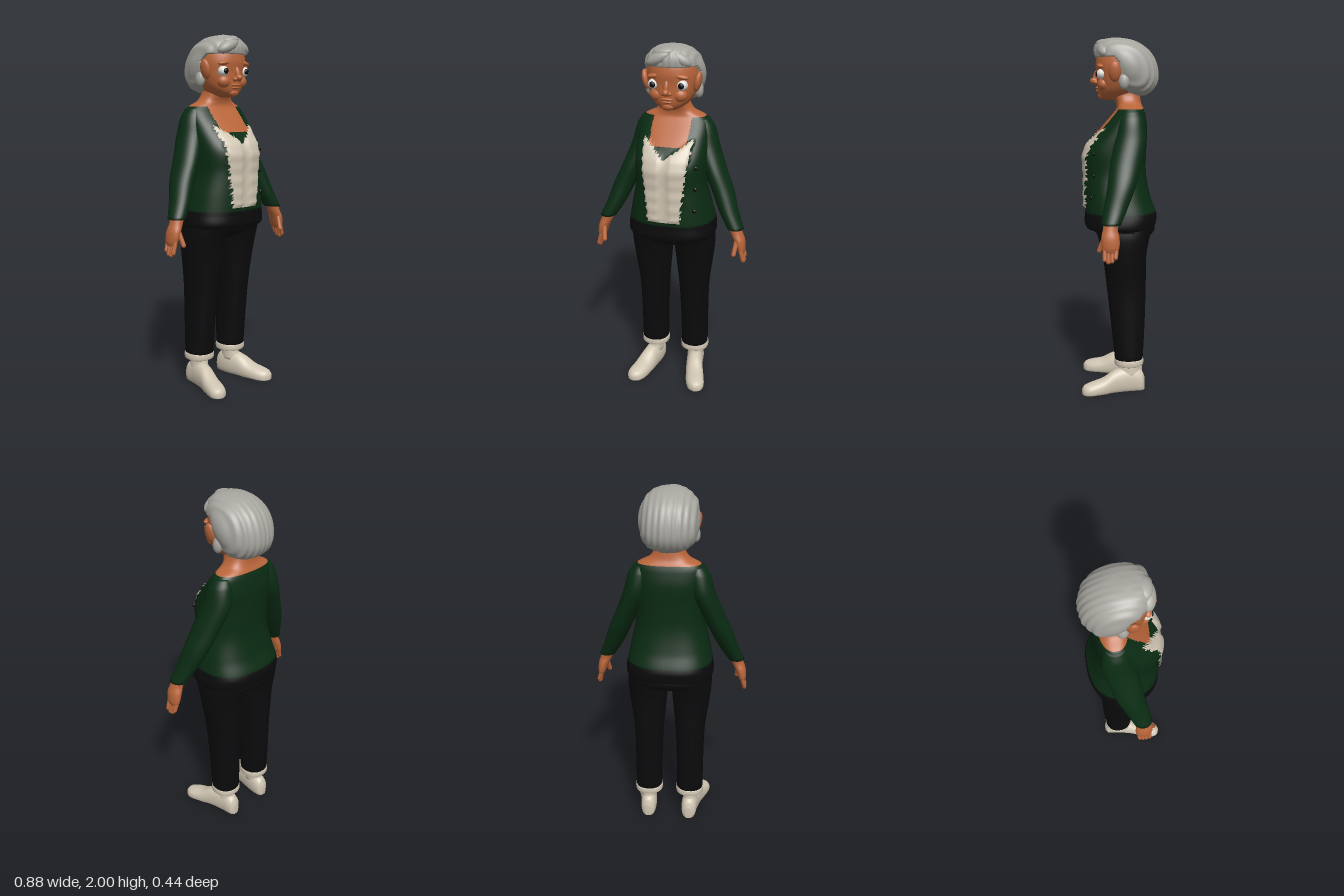
import * as THREE from 'three';

const mat = (name, color, side = THREE.FrontSide) => {
  const m = new THREE.MeshStandardMaterial({ color, side });
  m.name = name;
  return m;
};
const skin = mat('skin', 0xb8653a);
const hairGrey = mat('hair grey', 0xa5a49d);
const green = mat('cardigan green', 0x0a2b13);
const black = mat('trouser black', 0x0b0b0d);
const cream = mat('cream', 0xd0c5b2);
const eyeWhite = mat('eye white', 0xe0ded8);

// Smooth skin over horizontal cross-sections [y, centreX, halfWidth, backZ, frontZ], lowest first
function loft(keys, { segs = 32, steps = 6, n = 2, side = 1, deform } = {}) {
  const rows = [], pos = [], idx = [];
  const slope = (i, k) => {
    const a = keys[Math.max(i - 1, 0)], b = keys[Math.min(i + 1, keys.length - 1)];
    return (b[k] - a[k]) / (b[0] - a[0]);
  };
  for (let i = 0; i < keys.length - 1; i++) {
    const h = keys[i + 1][0] - keys[i][0];
    for (let s = i ? 1 : 0; s <= steps; s++) {
      const t = s / steps, t2 = t * t, t3 = t2 * t;
      rows.push(keys[i].map((v, k) => (2 * t3 - 3 * t2 + 1) * v + (t3 - 2 * t2 + t) * h * slope(i, k)
        + (3 * t2 - 2 * t3) * keys[i + 1][k] + (t3 - t2) * h * slope(i + 1, k)));
    }
  }
  const p = new THREE.Vector3();
  const add = (x, y, z) => {
    p.set(x, y, z);
    if (deform) deform(p);
    pos.push(p.x, p.y, p.z);
  };
  const pow = v => Math.sign(v) * Math.abs(v) ** (2 / n);
  for (const [y, cx, rx, zb, zf] of rows)
    for (let i = 0; i < segs; i++) {
      const a = i / segs * Math.PI * 2;
      add(cx * side + rx * pow(Math.cos(a)), y, (zb + zf) / 2 + (zf - zb) / 2 * pow(Math.sin(a)));
    }
  const last = rows.length - 1, low = rows.length * segs;
  for (const r of [rows[0], rows[last]]) add(r[1] * side, r[0], (r[3] + r[4]) / 2);
  for (let i = 0; i < segs; i++) {
    const k = (i + 1) % segs;
    for (let j = 0; j < last; j++) {
      const a = j * segs + i, b = j * segs + k;
      idx.push(a, a + segs, b, b, a + segs, b + segs);
    }
    idx.push(low, i, k, low + 1, last * segs + k, last * segs + i);
  }
  const g = new THREE.BufferGeometry();
  g.setAttribute('position', new THREE.Float32BufferAttribute(pos, 3));
  g.setIndex(idx);
  g.computeVertexNormals();
  return g;
}

// Sort the triangles into material groups by the rule(x, y, z) of their centre
function paint(g, count, rule) {
  const buckets = Array.from({ length: count }, () => []);
  const P = g.attributes.position, ix = g.index.array;
  for (let i = 0; i < ix.length; i += 3) {
    const t = [ix[i], ix[i + 1], ix[i + 2]];
    const mid = f => t.reduce((s, v) => s + P[f](v), 0) / 3;
    buckets[rule(mid('getX'), mid('getY'), mid('getZ'))].push(...t);
  }
  g.setIndex(buckets.flat());
  let start = 0;
  buckets.forEach((b, m) => { g.addGroup(start, b.length, m); start += b.length; });
  return g;
}

export function createModel() {
  const model = new THREE.Group();
  model.name = 'olderWoman';
  const add = (name, geo, material) => {
    const m = new THREE.Mesh(geo, material);
    m.name = name;
    model.add(m);
    return m;
  };
  const ball = (name, material, [x, y, z], [a, b, c], rz = 0, rx = 0) => {
    const m = add(name, new THREE.SphereGeometry(1, 24, 16), material);
    m.position.set(x, y, z);
    m.scale.set(a, b, c);
    m.rotation.set(rx, 0, rz);
  };
  const rod = (name, material, from, to, r) => {
    const a = new THREE.Vector3(...from), d = new THREE.Vector3(...to).sub(a);
    const m = add(name, new THREE.CapsuleGeometry(r, d.length(), 6, 12), material);
    m.position.copy(a).addScaledVector(d, 0.5);
    m.quaternion.setFromUnitVectors(new THREE.Vector3(0, 1, 0), d.normalize());
  };

  // Torso: cardigan, lace blouse front, square neckline and dark hem
  const inLace = (x, y, z) => z > 0.04 && y > 1.06 && y < 1.41 + Math.abs(x) * 0.75
    && Math.abs(x) < 0.09 + (y - 1.06) * 0.11 + 0.004 * Math.sin(y * 140);
  const torso = loft([
    [0.945, 0, 0.24, -0.195, 0.19], [0.965, 0, 0.25, -0.205, 0.2], [1.02, 0, 0.245, -0.21, 0.2],
    [1.12, 0, 0.225, -0.175, 0.2], [1.25, 0, 0.198, -0.15, 0.2], [1.38, 0, 0.2, -0.15, 0.197],
    [1.5, 0, 0.2, -0.155, 0.11], [1.575, 0, 0.192, -0.145, 0.045], [1.61, 0, 0.17, -0.135, 0.02],
    [1.64, 0, 0.11, -0.122, 0.02], [1.68, 0, 0.083, -0.115, 0.035], [1.73, 0, 0.08, -0.11, 0.04],
  ], {
    segs: 120, steps: 8, n: 2.45,
    deform: p => {
      if (inLace(p.x, p.y, p.z)) p.z += Math.abs(p.x) < 0.025 ? 0.002 : 0.011 + 0.002 * Math.sin(p.y * 90);
    },
  });
  add('torso', paint(torso, 4, (x, y, z) => {
    if (y < 1.04) return 1;
    if (inLace(x, y, z)) return 2;
    if (y > 1.61 || (z > -0.05 && y > 1.475 && Math.abs(x) < 0.107)) return 3;
    return 0;
  }), [green, black, cream, skin]);
  for (const [y, z] of [[1.37, 0.145], [1.25, 0.146], [1.13, 0.161]])
    ball('cardiganButton', black, [0.165, y, z], [0.012, 0.012, 0.008]);

  // Trousers seat
  add('trouserSeat', loft([
    [0.865, 0, 0.1, -0.1, 0.05], [0.89, 0, 0.2, -0.16, 0.11], [0.93, 0, 0.237, -0.2, 0.155], [0.99, 0, 0.236, -0.195, 0.17],
  ], { n: 2.3 }), black);

  for (const side of [1, -1]) {
    const S = (x, y, z) => [x * side, y, z];

    // Leg, turned-up cuff, ankle and shoe
    add('trouserLeg', loft([
      [0.18, 0.125, 0.079, -0.13, 0.03], [0.4, 0.124, 0.08, -0.14, 0.053], [0.6, 0.122, 0.087, -0.145, 0.075],
      [0.8, 0.125, 0.109, -0.148, 0.1], [0.9, 0.125, 0.117, -0.165, 0.125], [0.97, 0.122, 0.113, -0.18, 0.15],
    ], { n: 2.2, side }), black);
    add('trouserCuff', loft([
      [0.152, 0.125, 0.072, -0.122, 0.022], [0.158, 0.125, 0.082, -0.133, 0.032],
      [0.19, 0.125, 0.082, -0.133, 0.032], [0.197, 0.125, 0.074, -0.125, 0.025],
    ], { n: 2.2, side, steps: 3 }), cream);
    add('ankle', loft([[0.09, 0.128, 0.045, -0.115, 0.02], [0.17, 0.125, 0.04, -0.1, 0]], { side }), cream);
    const shoe = loft([
      [-0.142, 0.125, 0.018, -0.07, 0.01], [-0.125, 0.125, 0.04, -0.11, 0.02], [-0.06, 0.128, 0.049, -0.138, 0.025],
      [0.03, 0.145, 0.052, -0.123, 0.025], [0.1, 0.165, 0.056, -0.082, 0.025], [0.17, 0.184, 0.054, -0.062, 0.025],
      [0.207, 0.19, 0.035, -0.048, 0.02], [0.22, 0.191, 0.01, -0.03, 0],
    ], { n: 2.2, side, deform: p => { p.z = Math.min(p.z, 0); } });
    shoe.rotateX(Math.PI / 2);
    add('shoe', shoe, cream);

    // Sleeve
    add('sleeve', loft([
      [1.015, 0.376, 0.046, 0.003, 0.107], [1.1, 0.332, 0.054, -0.035, 0.093], [1.21, 0.287, 0.062, -0.08, 0.073],
      [1.32, 0.238, 0.063, -0.11, 0.058], [1.45, 0.183, 0.068, -0.14, 0.03], [1.55, 0.16, 0.062, -0.13, 0.01],
      [1.6, 0.15, 0.04, -0.11, -0.01],
    ], { side }), green);

    // Hand with four fingers and a thumb
    add('hand', loft([
      [0.875, 0.418, 0.014, 0.025, 0.09], [0.9, 0.414, 0.023, 0.013, 0.103], [0.95, 0.402, 0.031, 0.012, 0.108],
      [0.99, 0.385, 0.034, 0.02, 0.1], [1.03, 0.37, 0.036, 0.015, 0.095],
    ], { side, segs: 24 }), skin);
    [0.028, 0.049, 0.07, 0.091].forEach((z, i) =>
      rod('finger', skin, S(0.415, 0.895, z), S(0.43, [0.85, 0.832, 0.828, 0.84][i], z * 0.9 + 0.008), 0.012));
    rod('thumb', skin, S(0.392, 0.955, 0.09), S(0.382, 0.88, 0.118), 0.013);

    // Eye, cheek and ear
    ball('eyeball', eyeWhite, S(0.078, 1.8, 0.102), [0.03, 0.028, 0.028]);
    ball('pupil', black, S(0.078, 1.8, 0.125), [0.016, 0.016, 0.01]);
    ball('brow', skin, S(0.07, 1.845, 0.105), [0.045, 0.014, 0.022], -0.15 * side);
    ball('cheek', skin, S(0.06, 1.745, 0.09), [0.042, 0.036, 0.034]);
    ball('ear', skin, S(0.143, 1.81, 0.03), [0.02, 0.055, 0.034], -0.2 * side);
    ball('sideCurl', hairGrey, S(0.135, 1.76, -0.02), [0.026, 0.045, 0.03], 0.1 * side);
    ball('nostril', skin, S(0.015, 1.757, 0.132), [0.014, 0.012, 0.016]);
  }

  // Head and face
  add('head', loft([
    [1.66, 0, 0.03, 0, 0.08], [1.675, 0, 0.065, -0.05, 0.108], [1.705, 0, 0.1, -0.1, 0.122],
    [1.75, 0, 0.126, -0.14, 0.127], [1.8, 0, 0.139, -0.15, 0.128], [1.86, 0, 0.14, -0.155, 0.133],
    [1.92, 0, 0.12, -0.14, 0.115], [1.965, 0, 0.06, -0.08, 0.06],
  ], { segs: 48, n: 2.15 }), skin);
  ball('noseTip', skin, [0, 1.765, 0.142], [0.019, 0.019, 0.024]);
  ball('noseBridge', skin, [0, 1.79, 0.128], [0.014, 0.04, 0.02], 0, -0.25);
  ball('upperLip', skin, [0, 1.726, 0.122], [0.035, 0.009, 0.013]);
  ball('lowerLip', skin, [0, 1.711, 0.12], [0.028, 0.008, 0.013]);
  ball('chin', skin, [0, 1.685, 0.1], [0.035, 0.022, 0.022]);

  // Wavy bob: tucked inside the head below the hairline so the face and ears stay clear
  add('hair', loft([
    [1.685, 0, 0.06, -0.14, -0.06], [1.71, 0, 0.115, -0.18, 0.0], [1.76, 0, 0.148, -0.21, 0.06],
    [1.82, 0, 0.16, -0.212, 0.1], [1.88, 0, 0.158, -0.195, 0.13], [1.93, 0, 0.143, -0.162, 0.138],
    [1.97, 0, 0.108, -0.11, 0.12], [1.99, 0, 0.07, -0.06, 0.09], [2.0, 0, 0.02, 0.0, 0.04],
  ], {
    segs: 120, steps: 8, n: 2.1,
    deform: p => {
      const tucked = p.y < 1.888 && p.z > 0.01 + Math.max(0, p.y - 1.86);
      const k = tucked ? 0.68 : 1 + 0.018 * Math.sin(p.x * 190 + p.y * 8) + 0.008 * Math.sin(p.x * 80);
      p.x *= k;
      p.z *= k;
    },
  }), hairGrey);
  // Swept forelocks
  ball('forelock', hairGrey, [-0.045, 1.935, 0.105], [0.075, 0.034, 0.042], 0.45);
  ball('forelock', hairGrey, [0.06, 1.935, 0.085], [0.07, 0.034, 0.04], -0.5);
  ball('forelock', hairGrey, [-0.02, 1.965, 0.09], [0.06, 0.026, 0.045], 0.15);
  return model;
}
